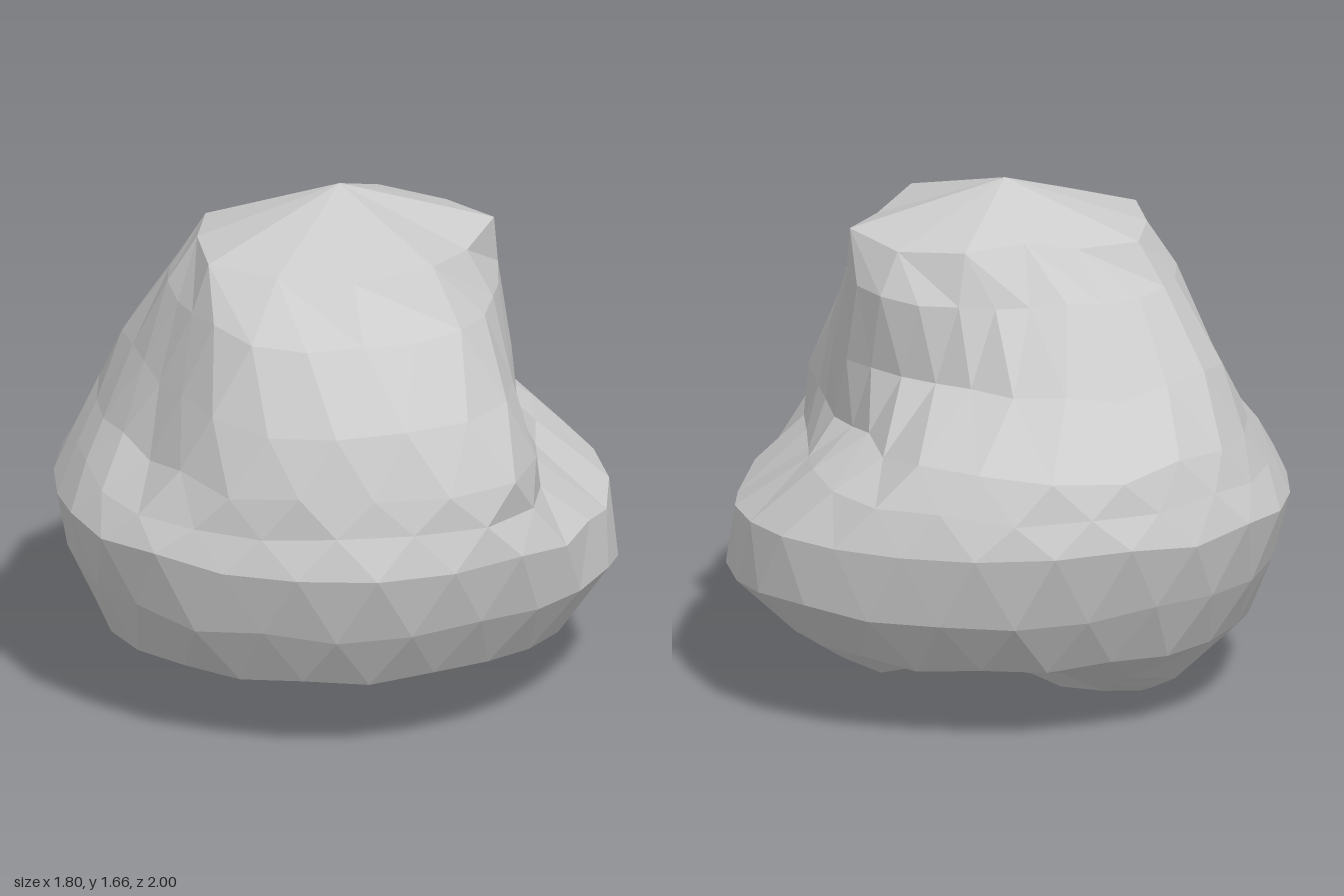
import * as THREE from 'three';

// Cross-sections from top to bottom: height, number of corners, then radii
// every 30 degrees, starting at the front and turning towards +x
const SECTIONS = [
  { y: 1.51, n: 12, r: [.49, .52, .46, .52, .46, .40, .29, .34, .44, .44, .51, .48] },
  { y: 1.35, n: 24, r: [.67, .66, .55, .53, .53, .45, .42, .48, .53, .53, .57, .70] },
  { y: 1.10, n: 24, r: [.87, .82, .61, .56, .51, .50, .63, .69, .71, .63, .66, .82] },
  { y: 0.90, n: 24, r: [.93, .94, .67, .57, .58, .80, .92, .88, .80, .74, .74, .89] },
  { y: 0.78, n: 24, r: [.96, .95, .71, .65, .78, .91, .96, .92, .86, .81, .88, .92] },
  { y: 0.66, n: 24, r: [1.0, .98, .89, .90, .93, .97, 1.0, .96, .93, .89, .95, .96], dip: .07 },
  { y: 0.44, n: 24, r: [.93, .92, .91, .91, .94, .94, .92, .90, .87, .84, .89, .91], dip: .04 },
  { y: 0.25, n: 24, r: [.82, .80, .77, .75, .77, .81, .81, .81, .78, .75, .79, .80] },
  { under: true, n: 18, r: [.62, .60, .57, .58, .62, .62, .62, .62, .61, .59, .61, .62] },
  { under: true, n: 14, r: Array(12).fill(.42), x: -.08, z: -.08 },
  { under: true, n: 9, r: Array(12).fill(.2), x: -.25, z: -.12 },
];

// Closed Catmull-Rom interpolation of the radii
function radiusAt(r, t) {
  const n = r.length, i = Math.floor(t), f = t - i;
  const [a, b, c, d] = [-1, 0, 1, 2].map((k) => r[(i + k + n) % n]);
  return b + 0.5 * f * (c - a + f * (2 * a - 5 * b + 4 * c - d + f * (3 * (b - c) + d - a)));
}

// Underside: a low foot, a shallow lobe beside it and a hollow between them
function undersideHeight(x, z) {
  const foot = 0.27 * Math.exp(-(((x + 0.27) / 0.34) ** 4) - ((z + 0.14) / 0.45) ** 2);
  const lobe = 0.14 * Math.exp(-(((x - 0.44) / 0.3) ** 2) - ((z + 0.2) / 0.5) ** 2);
  const hollow = 0.1 * Math.exp(-(((x - 0.12) / 0.2) ** 2) - ((z + 0.35) / 0.25) ** 2);
  return Math.max(0.01, 0.26 - foot - lobe + hollow);
}

// Repeatable unevenness between -1 and 1
function noise(i, j) {
  const s = Math.sin(i * 127.1 + j * 311.7) * 43758.5453;
  return 2 * (s - Math.floor(s)) - 1;
}

function createRockGeometry() {
  const positions = [], index = [], rings = [];

  // Rings; every other one is turned half a step to give irregular facets
  SECTIONS.forEach(({ y, n, r, under, dip = 0, x = 0, z = 0 }, i) => {
    const start = positions.length / 3;
    const shift = i === 0 || i % 2 ? 0 : 0.5;
    rings.push({ start, n, shift });
    for (let j = 0; j < n; j++) {
      const turn = (j + shift) / n, a = turn * Math.PI * 2;
      const radius = radiusAt(r, turn * 12) * (1 + 0.008 * noise(j, i));
      const px = x + radius * Math.sin(a), pz = z + radius * Math.cos(a);
      // The shelf on the +x side sags a little
      const sag = dip * Math.max(0, Math.sin(a)) ** 4;
      const height = under ? undersideHeight(px, pz) : y - sag + 0.02 * noise(i, j);
      positions.push(px, height, pz);
    }
  });

  // Bands: step along whichever ring has the nearer next corner
  for (let i = 0; i < rings.length - 1; i++) {
    const top = rings[i], low = rings[i + 1];
    const topAt = (k) => top.start + (k % top.n);
    const lowAt = (k) => low.start + (k % low.n);
    let t = 0, l = 0;
    while (t < top.n || l < low.n) {
      const nextTop = (t + 1 + top.shift) / top.n;
      const nextLow = (l + 1 + low.shift) / low.n;
      if (l === low.n || (t < top.n && nextTop < nextLow)) {
        index.push(topAt(t), lowAt(l), topAt(t + 1));
        t++;
      } else {
        index.push(topAt(t), lowAt(l), lowAt(l + 1));
        l++;
      }
    }
  }

  // Peak and middle of the foot
  const peak = positions.length / 3, base = peak + 1;
  positions.push(0.02, 1.66, 0.01, -0.26, 0, -0.15);
  const first = rings[0], last = rings[rings.length - 1];
  for (let j = 0; j < first.n; j++) index.push(peak, j, (j + 1) % first.n);
  for (let j = 0; j < last.n; j++) {
    index.push(base, last.start + ((j + 1) % last.n), last.start + j);
  }

  const geometry = new THREE.BufferGeometry();
  geometry.setAttribute('position', new THREE.Float32BufferAttribute(positions, 3));
  geometry.setIndex(index);
  const faceted = geometry.toNonIndexed();
  faceted.computeVertexNormals();
  return faceted;
}

export function createModel() {
  const group = new THREE.Group();
  group.name = 'boulder';
  const material = new THREE.MeshStandardMaterial({ color: 0xcccccc, flatShading: true });
  const rock = new THREE.Mesh(createRockGeometry(), material);
  rock.name = 'rock';
  group.add(rock);
  return group;
}
